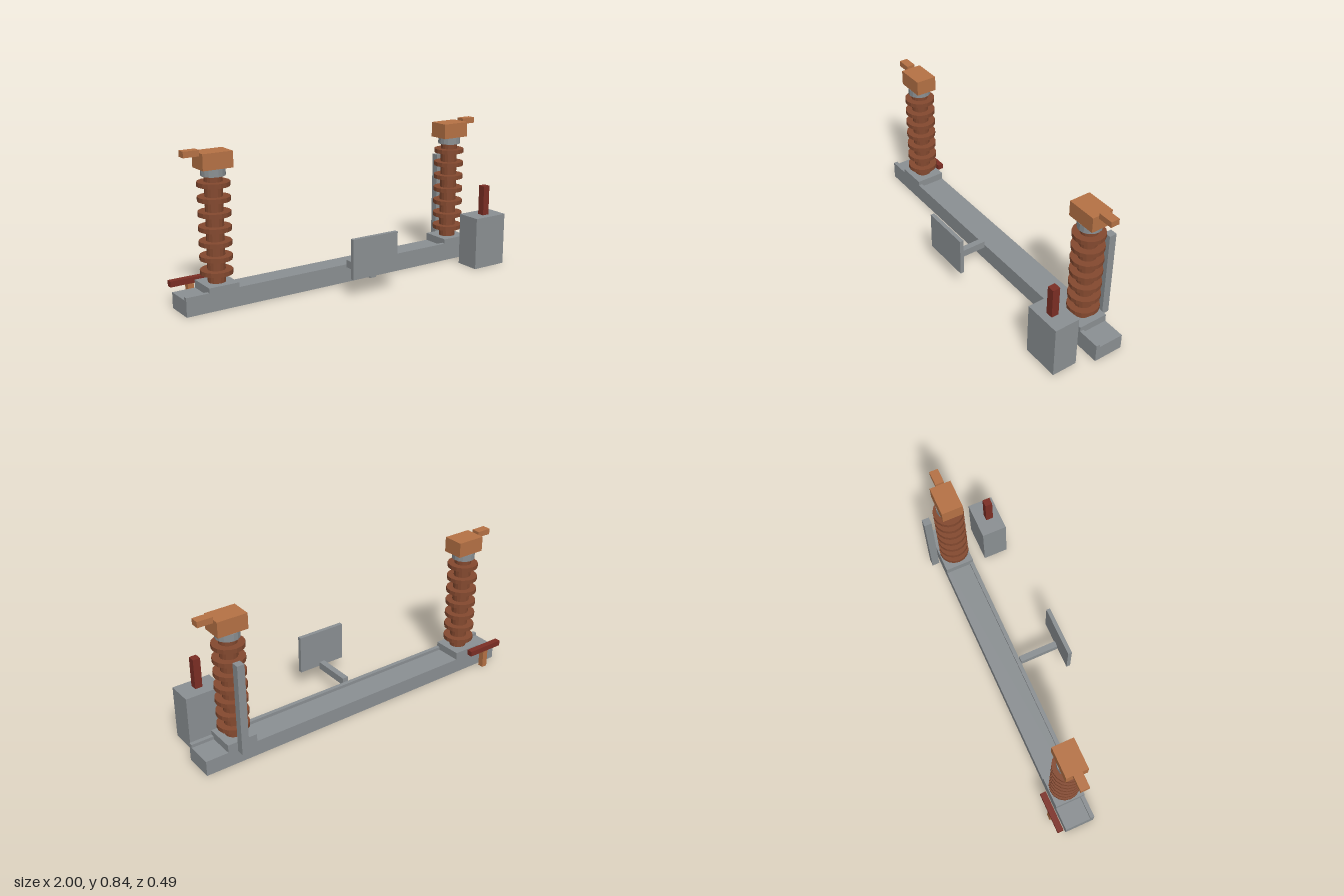
import * as THREE from 'three';

const mat = (name, color) => {
  const m = new THREE.MeshStandardMaterial({ color });
  m.name = name;
  return m;
};

export function createModel() {
  const model = new THREE.Group();
  model.name = 'isolatorSwitch';
  const steel = mat('steelGrey', 0x8b9093);
  const copper = mat('copper', 0xb67245);
  const porcelain = mat('brownPorcelain', 0x84492f);
  const red = mat('darkRed', 0x7c2e24);
  porcelain.flatShading = true;

  const add = (parent, name, geometry, material) => {
    const mesh = new THREE.Mesh(geometry, material);
    mesh.name = name;
    parent.add(mesh);
    return mesh;
  };
  // Box given by its extents on each axis
  const box = (parent, name, material, [x0, x1], [y0, y1], [z0, z1]) =>
    add(parent, name, new THREE.BoxGeometry(x1 - x0, y1 - y0, z1 - z0), material)
      .position.set((x0 + x1) / 2, (y0 + y1) / 2, (z0 + z1) / 2);
  // Upright faceted cylinder
  const drum = (parent, name, material, r, y0, y1, x, z, sides = 16) => {
    const g = new THREE.CylinderGeometry(r, r, y1 - y0, sides).toNonIndexed();
    g.computeVertexNormals();
    add(parent, name, g, material).position.set(x, (y0 + y1) / 2, z);
  };

  // Base beam: L-shaped section with a raised front lip
  const section = new THREE.Shape([
    [0.01, 0], [0.182, 0], [0.182, 0.087], [0.033, 0.087], [0.033, 0.105], [0.01, 0.105],
  ].map(([x, y]) => new THREE.Vector2(x, y)));
  const beam = new THREE.ExtrudeGeometry(section, { depth: 2, bevelEnabled: false });
  beam.rotateY(Math.PI / 2).translate(-1, 0, 0);
  add(model, 'baseBeam', beam, steel);

  // Two insulator columns with pads, caps and terminals
  for (const s of [-1, 1]) {
    const column = new THREE.Group();
    column.name = s > 0 ? 'leftInsulator' : 'rightInsulator';
    model.add(column);
    const span = (a, b) => (s > 0 ? [a, b] : [-b, -a]);
    const x = s * 0.783, z = -0.095;
    box(column, 'mountingPad', steel, span(0.697, 0.87), [0.087, 0.131], [-0.182, -0.01]);
    drum(column, 'insulatorCore', porcelain, 0.048, 0.131, 0.7, x, z);
    for (let i = 0; i < 7; i++) {
      const y = 0.1875 + i * 0.0783;
      drum(column, 'insulatorShed', porcelain, 0.087, y - 0.012, y + 0.012, x, z);
    }
    drum(column, 'columnCap', steel, 0.065, 0.7, 0.74, x, z);
    box(column, 'contactBlock', copper, span(0.697, 0.868), [0.74, 0.827], [-0.155, -0.033]);
    box(column, 'terminalTab', copper, span(0.868, 0.955), [0.81, 0.843], [-0.12, -0.07]);
  }

  // Sign plate on its arm
  box(model, 'signArm', steel, [-0.019, 0.017], [0.088, 0.131], [-0.01, 0.22]);
  box(model, 'signPlate', steel, [-0.148, 0.146], [0.107, 0.331], [0.22, 0.243]);

  // Drive cabinet with its lever
  box(model, 'driveCabinet', steel, [0.735, 0.953], [0, 0.305], [0.08, 0.227]);
  box(model, 'driveLever', red, [0.823, 0.865], [0.305, 0.479], [0.14, 0.183]);

  // Rear rod, earthing bar and its post
  box(model, 'rearRod', steel, [0.781, 0.823], [0.088, 0.61], [-0.243, -0.2]);
  box(model, 'earthingBar', red, [-1, -0.768], [0.107, 0.139], [-0.234, -0.2]);
  box(model, 'earthingPost', copper, [-0.902, -0.868], [0, 0.107], [-0.234, -0.2]);

  return model;
}
